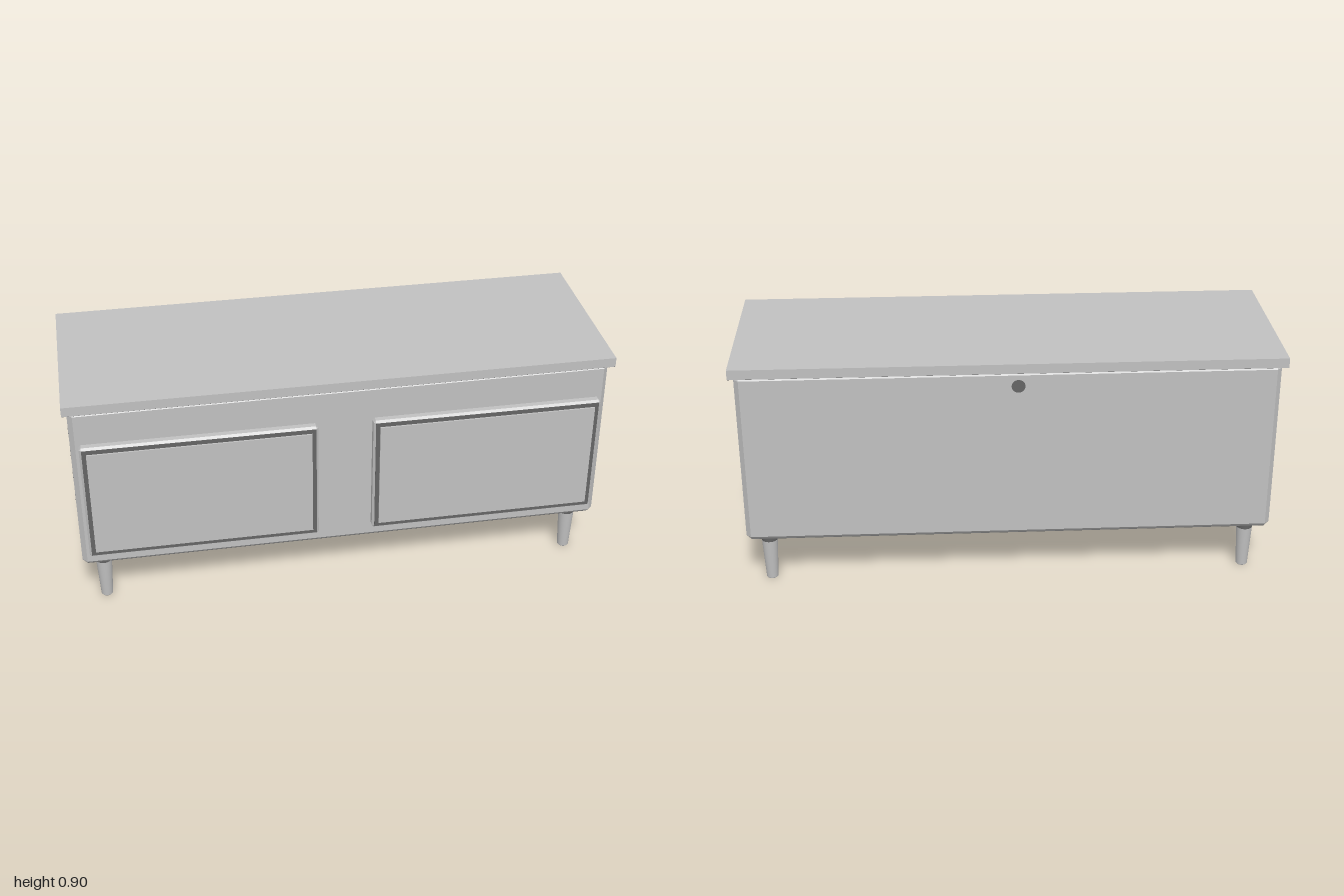
import * as THREE from 'three';
import { ConvexGeometry } from 'three/addons/geometries/ConvexGeometry.js';

// Box with all twelve edges chamfered by c
function chamferBox(w, h, d, c) {
  const pts = [];
  for (const x of [-1, 1]) for (const y of [-1, 1]) for (const z of [-1, 1]) {
    const X = w / 2, Y = h / 2, Z = d / 2;
    pts.push(new THREE.Vector3(x * X, y * (Y - c), z * (Z - c)));
    pts.push(new THREE.Vector3(x * (X - c), y * Y, z * (Z - c)));
    pts.push(new THREE.Vector3(x * (X - c), y * (Y - c), z * Z));
  }
  return new ConvexGeometry(pts);
}

// Turned profile from [radius, height] pairs
function turned(profile) {
  return new THREE.LatheGeometry(profile.map(([r, y]) => new THREE.Vector2(r, y)), 24);
}

export function createModel() {
  const root = new THREE.Group();
  root.name = 'cabinet';
  const grey = new THREE.MeshStandardMaterial({ color: 0xc0c0c0 });
  grey.name = 'bodyGrey';
  const dark = new THREE.MeshStandardMaterial({ color: 0x646464 });
  dark.name = 'darkGrey';

  const add = (name, geometry, material, x, y, z) => {
    const mesh = new THREE.Mesh(geometry, material);
    mesh.name = name;
    mesh.position.set(x, y, z);
    root.add(mesh);
    return mesh;
  };

  // Carcass and overhanging top, each with a dark underside
  add('body', chamferBox(1.965, 0.67, 0.653, 0.018), grey, 0, 0.535, -0.0115);
  add('bodyUnderside', new THREE.BoxGeometry(1.929, 0.002, 0.617), dark, 0, 0.2, -0.0115);
  add('top', new THREE.BoxGeometry(2, 0.036, 0.687), grey, 0, 0.885, -0.0125);
  add('topUnderside', new THREE.BoxGeometry(1.998, 0.002, 0.685), dark, 0, 0.867, -0.0125);

  // Doors: chamfered slab, dark groove border and a raised front panel
  const doorGeo = chamferBox(0.852, 0.474, 0.037, 0.008);
  const grooveGeo = new THREE.BoxGeometry(0.836, 0.458, 0.002);
  const panelGeo = new THREE.BoxGeometry(0.805, 0.425, 0.008);
  for (const s of [-1, 1]) {
    const side = s > 0 ? 'left' : 'right';
    add(side + 'Door', doorGeo, grey, s * 0.527, 0.502, 0.3325);
    add(side + 'DoorGroove', grooveGeo, dark, s * 0.527, 0.502, 0.351);
    add(side + 'DoorPanel', panelGeo, grey, s * 0.527, 0.502, 0.354);
  }

  // Side vent slats
  const ventGeo = new THREE.BoxGeometry(0.009, 0.03, 0.263);
  for (const s of [-1, 1]) {
    for (let i = 0; i < 4; i++) {
      add('vent', ventGeo, dark, s * 0.984, 0.377 + i * 0.098, -0.012);
    }
  }

  // Tapered legs with a softened foot and a dark collar
  const legGeo = turned([[0, 0], [0.019, 0], [0.022, 0.004], [0.03, 0.165]]);
  const collarGeo = turned([[0.03, 0.165], [0.032, 0.205]]);
  for (const x of [-0.905, 0.905]) {
    for (const z of [0.234, -0.258]) {
      add('leg', legGeo, grey, x, 0, z);
      add('legCollar', collarGeo, dark, x, 0, z);
    }
  }

  // Flush cable port on the back
  const port = add('cablePort', new THREE.CircleGeometry(0.025, 24), dark, -0.03, 0.81, -0.339);
  port.rotation.y = Math.PI;

  return root;
}
